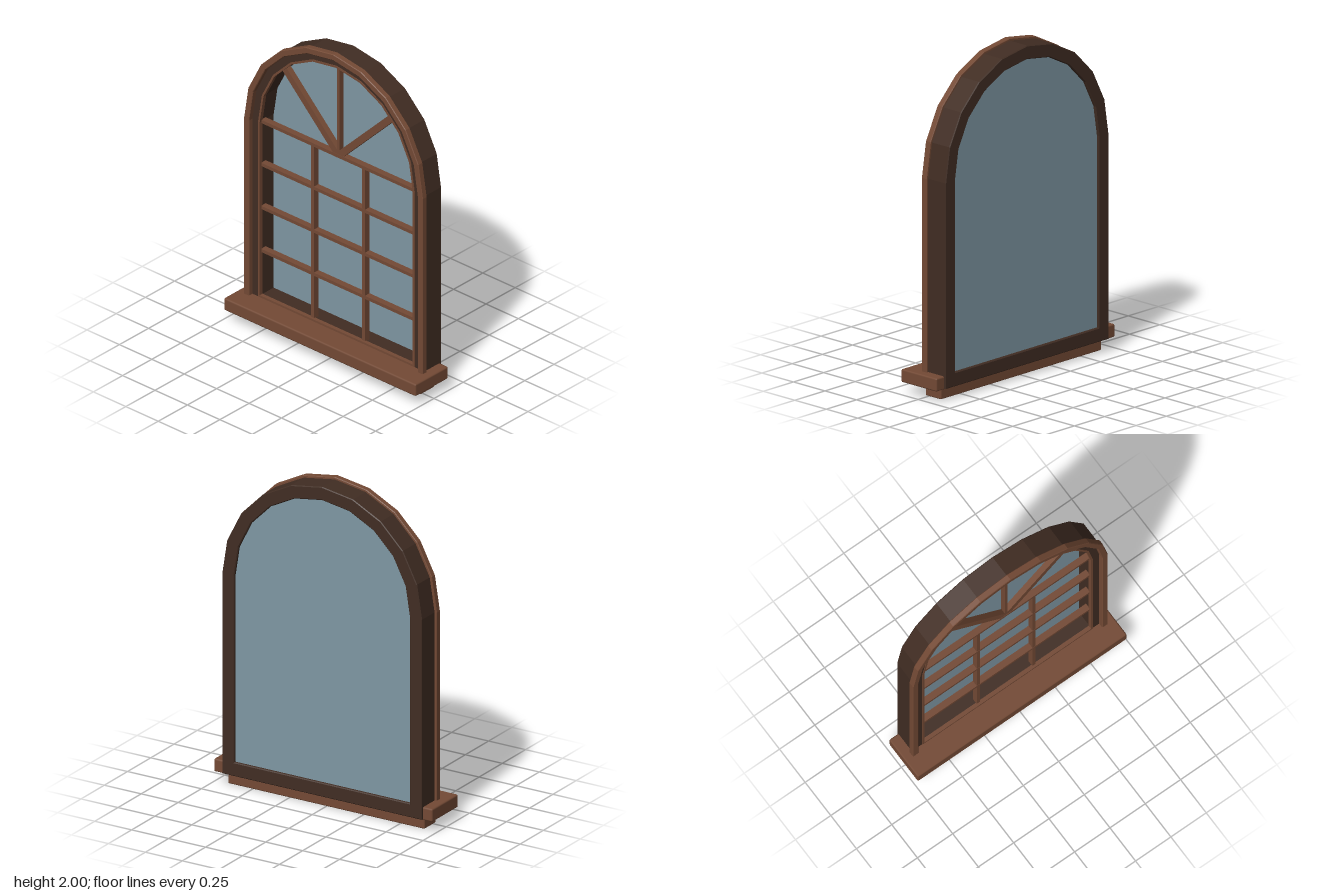
import * as THREE from 'three';
import { RoundedBoxGeometry } from 'three/addons/geometries/RoundedBoxGeometry.js';

const SPRING = 1.31; // height where the arch begins
const ARCH_SIDES = 10;

// Corner points of an arched outline: straight jambs under a faceted half circle
function archPoints(r, bottom) {
  const pts = [new THREE.Vector2(-r, bottom), new THREE.Vector2(r, bottom)];
  for (let i = 0; i <= ARCH_SIDES; i++) {
    const a = (i / ARCH_SIDES) * Math.PI;
    pts.push(new THREE.Vector2(r * Math.cos(a), SPRING + r * Math.sin(a)));
  }
  return pts;
}

// Arched slab between zBack and zFront, optionally with an arched opening
function archGeometry(outer, inner, zBack, zFront, bevel = 0) {
  const shape = new THREE.Shape(archPoints(...outer));
  if (inner) shape.holes.push(new THREE.Path(archPoints(...inner)));
  const geo = new THREE.ExtrudeGeometry(shape, {
    depth: zFront - zBack - 2 * bevel,
    bevelEnabled: bevel > 0,
    bevelThickness: bevel,
    bevelSize: bevel,
    bevelOffset: -bevel,
    bevelSegments: 1,
  });
  geo.translate(0, 0, zBack + bevel);
  return geo;
}

export function createModel() {
  const model = new THREE.Group();
  model.name = 'archedWindow';

  const wood = new THREE.MeshStandardMaterial({ color: 0x744a35 });
  wood.name = 'warm wood';
  const darkWood = new THREE.MeshStandardMaterial({ color: 0x412d23 });
  darkWood.name = 'dark wood';
  const glass = new THREE.MeshStandardMaterial({ color: 0x7f98a4 });
  glass.name = 'blue grey glass';

  const add = (name, geo, mat, parent = model) => {
    const mesh = new THREE.Mesh(geo, mat);
    mesh.name = name;
    parent.add(mesh);
    return mesh;
  };

  // Nested arched rings and the pane
  add('casing', archGeometry([0.69, 0.058], [0.65, 0.1], -0.008, 0.031, 0.004), wood);
  add('frame', archGeometry([0.676, 0.075], [0.594, 0.16], -0.147, 0, 0.005), darkWood);
  add('glazingBead', archGeometry([0.603, 0.152], [0.59, 0.165], -0.02, 0.004), wood);
  add('glassPane', archGeometry([0.6, 0.15], null, -0.13, -0.12), glass);

  // Sill and the apron below it
  const sill = add('sill', new RoundedBoxGeometry(1.48, 0.08, 0.282, 1, 0.01), wood);
  sill.position.set(0, 0.11, 0.006);
  const apron = add('apron', new RoundedBoxGeometry(1.33, 0.08, 0.125, 1, 0.008), wood);
  apron.position.set(0, 0.04, -0.037);

  // Glazing bars
  const bars = new THREE.Group();
  bars.name = 'glazingBars';
  model.add(bars);
  const BAR_DEPTH = 0.04;
  const BAR_Z = -0.03;

  for (let i = 0; i < 4; i++) {
    const bar = add('crossBar', new THREE.BoxGeometry(1.185, 0.021, BAR_DEPTH), wood, bars);
    bar.position.set(0, SPRING - i * 0.285, BAR_Z);
  }
  for (const side of [-1, 1]) {
    const bar = add('uprightBar', new THREE.BoxGeometry(0.023, 1.15, BAR_DEPTH - 0.002), wood, bars);
    bar.position.set(side * 0.197, 0.735, BAR_Z);
  }

  // Fan of three bars in the arch
  for (const [angle, width] of [[-45, 0.043], [0, 0.018], [45, 0.043]]) {
    const geo = new THREE.BoxGeometry(width, 0.592, BAR_DEPTH - 0.004);
    geo.translate(0, 0.296, 0);
    const bar = add('fanBar', geo, wood, bars);
    bar.position.set(0, SPRING, BAR_Z);
    bar.rotation.z = THREE.MathUtils.degToRad(angle);
  }

  return model;
}
